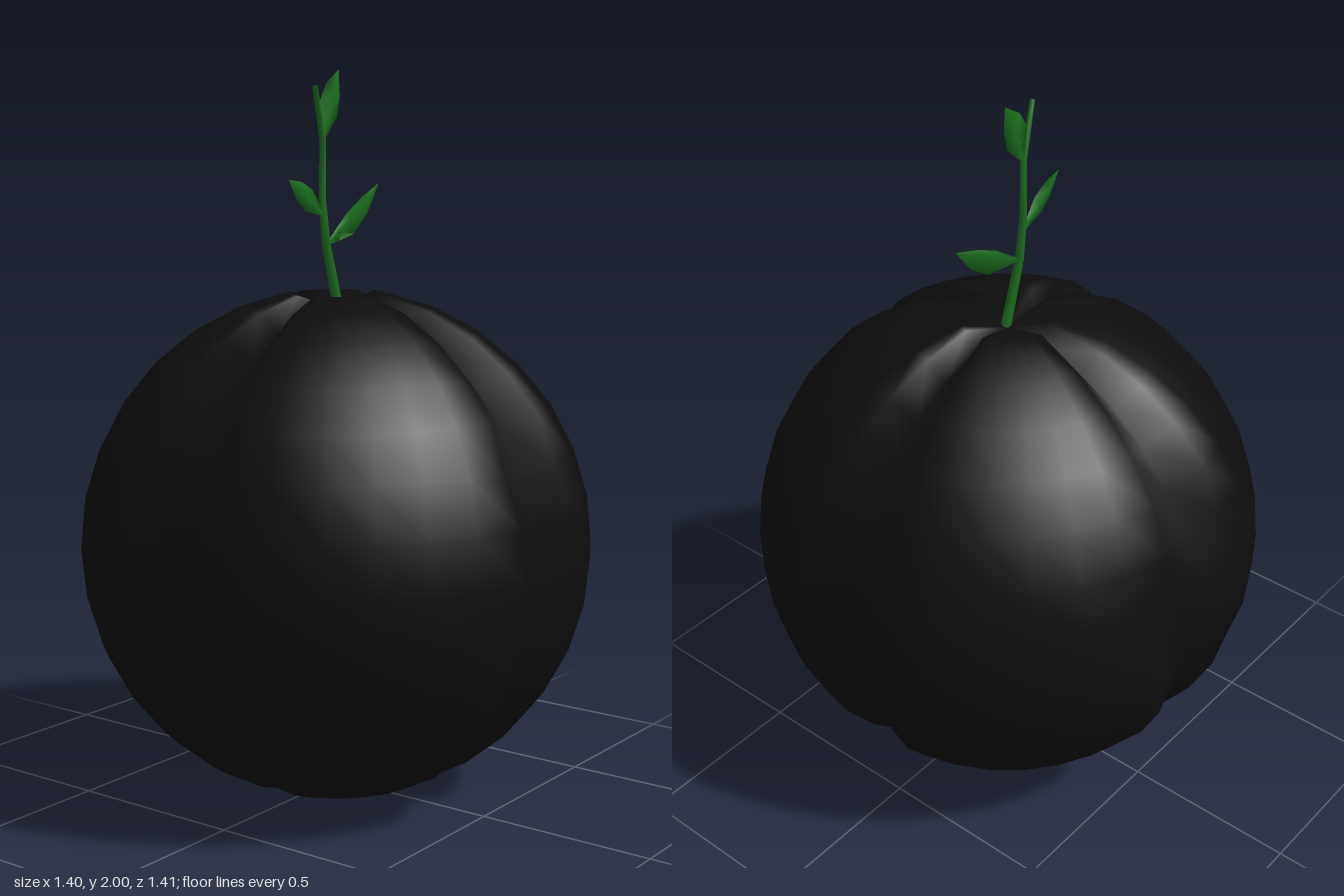
import * as THREE from 'three';
import { mergeVertices } from 'three/addons/utils/BufferGeometryUtils.js';

const SEGMENTS = 32, RINGS = 16, RADIUS = 0.713, CENTRE_Y = 0.695;
const black = new THREE.MeshStandardMaterial({ color: 0x0d0d0d });
const green = new THREE.MeshStandardMaterial({ color: 0x1a6b1c, side: THREE.DoubleSide });

// Sphere with four pole-to-pole grooves pressed into its vertices
function createBody() {
  const geo = new THREE.SphereGeometry(RADIUS, SEGMENTS, RINGS);
  const pos = geo.attributes.position;
  const v = new THREE.Vector3();
  for (let i = 0; i < pos.count; i++) {
    v.fromBufferAttribute(pos, i);
    const ring = Math.floor(i / (SEGMENTS + 1));
    const pole = ring === 0 || ring === RINGS;
    const step = Math.round(Math.atan2(v.x, v.z) / (2 * Math.PI) * SEGMENTS + SEGMENTS) % SEGMENTS;
    // the back groove wanders one step sideways near the equator
    const shift = (ring === 7 || ring === 8) && Math.abs(step - 16) < 4 ? 1 : 0;
    const k = (step + shift) % 8;
    const distance = Math.min(k, 8 - k);
    let depth = 0;
    if (pole || distance === 0) depth = 0.058;
    else if (distance === 1 && (ring === 6 || ring === 9)) depth = 0.02;
    v.setLength(RADIUS - depth);
    pos.setXYZ(i, v.x, v.y, v.z);
  }
  geo.deleteAttribute('uv');
  geo.deleteAttribute('normal');
  const smooth = mergeVertices(geo, 1e-4);
  smooth.computeVertexNormals();
  const mesh = new THREE.Mesh(smooth, black);
  mesh.position.y = CENTRE_Y;
  mesh.name = 'body';
  return mesh;
}

// Tapered stalk made of six-sided sections along a bent line
function createStem() {
  const points = [
    [0.005, 1.32, 0.01, 0.015], [-0.06, 1.53, 0.01, 0.012],
    [-0.07, 1.65, 0.005, 0.01], [-0.075, 1.81, 0.01, 0.009], [-0.148, 1.95, 0.04, 0.007],
  ];
  const sides = 6, verts = [], index = [];
  points.forEach(([x, y, z, r], j) => {
    const a = points[Math.max(j - 1, 0)], b = points[Math.min(j + 1, points.length - 1)];
    const across = new THREE.Vector3(b[1] - a[1], a[0] - b[0], 0).normalize();
    for (let s = 0; s < sides; s++) {
      const t = s / sides * Math.PI * 2;
      verts.push(x + across.x * r * Math.cos(t), y + across.y * r * Math.cos(t), z + r * Math.sin(t));
      if (j === points.length - 1) continue;
      const p = j * sides + s, q = j * sides + (s + 1) % sides;
      index.push(p, p + sides, q, q, p + sides, q + sides);
    }
  });
  const last = (points.length - 1) * sides;
  for (let s = 1; s < sides - 1; s++) index.push(last, last + s + 1, last + s);
  return meshFrom(verts, index, 'stem');
}

// Thin leaf: diamond cross-sections from base to tip
function createLeaf(name, base, tip, leftWidth, rightWidth) {
  const a = new THREE.Vector3(...base), b = new THREE.Vector3(...tip);
  const left = new THREE.Vector3(a.y - b.y, b.x - a.x, 0).normalize();
  const stations = [[0, 0.06], [0.2, 0.55], [0.42, 1], [0.7, 0.8], [1, 0.02]];
  const verts = [], index = [];
  stations.forEach(([t, w], j) => {
    const c = a.clone().lerp(b, t);
    const l = c.clone().addScaledVector(left, leftWidth * w);
    const r = c.clone().addScaledVector(left, -rightWidth * w);
    const half = 0.007 * w;
    verts.push(l.x, l.y, l.z, c.x, c.y, c.z - half, r.x, r.y, r.z, c.x, c.y, c.z + half);
    if (j === stations.length - 1) return;
    for (let s = 0; s < 4; s++) {
      const p = j * 4 + s, q = j * 4 + (s + 1) % 4;
      index.push(p, p + 4, q, q, p + 4, q + 4);
    }
  });
  return meshFrom(verts, index, name);
}

function meshFrom(verts, index, name) {
  const geo = new THREE.BufferGeometry();
  geo.setAttribute('position', new THREE.Float32BufferAttribute(verts, 3));
  geo.setIndex(index);
  geo.computeVertexNormals();
  const mesh = new THREE.Mesh(geo, green);
  mesh.name = name;
  return mesh;
}

export function createModel() {
  const model = new THREE.Group();
  model.name = 'groovedBallWithSprout';
  const sprout = new THREE.Group();
  sprout.name = 'sprout';
  sprout.add(
    createStem(),
    createLeaf('lowerLeaf', [-0.06, 1.53, 0.01], [0.235, 1.69, -0.027], 0.017, 0.05),
    createLeaf('middleLeaf', [-0.07, 1.61, 0.008], [-0.258, 1.707, 0.037], 0.032, 0.032),
    createLeaf('upperLeaf', [-0.075, 1.81, 0.01], [0.02, 2.0, -0.008], 0.05, 0.038),
  );
  model.add(createBody(), sprout);
  return model;
}
